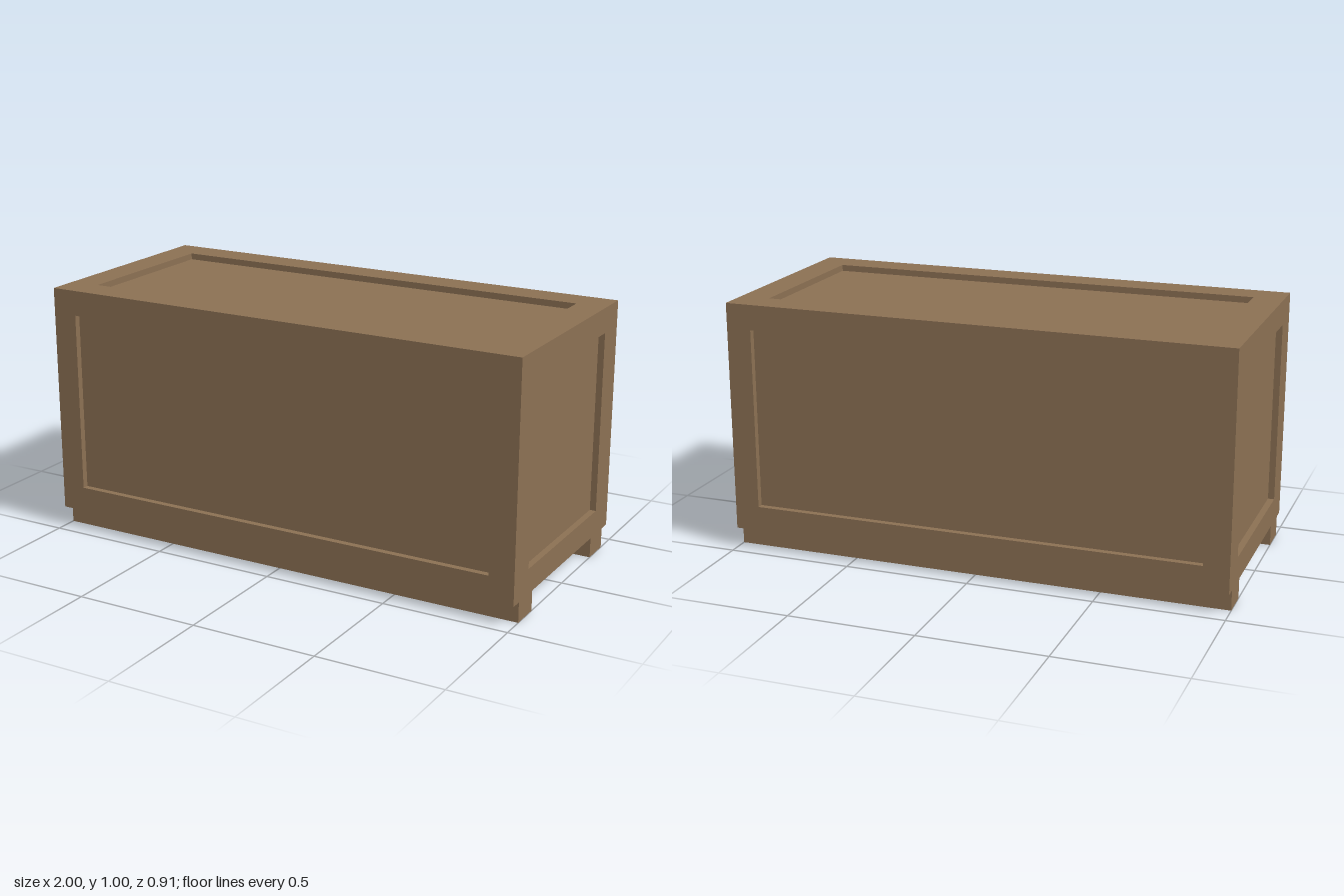
import * as THREE from 'three';

const WIDTH = 2, DEPTH = 0.91, BASE = 0.08, TOP = 1, RECESS = 0.025;
const HEIGHT = TOP - BASE, MID = (TOP + BASE) / 2;

function rectangle(Type, w, h) {
  return new Type([[-w, -h], [w, -h], [w, h], [-w, h]].map(([x, y]) => new THREE.Vector2(x / 2, y / 2)));
}

// One face of the chest, facing +z: a border, a sunken panel and its four reveals
function panelledFace(name, w, h, panelW, panelH, material) {
  const face = new THREE.Group();
  face.name = name;
  const add = (part, geometry) => {
    const mesh = new THREE.Mesh(geometry, material);
    mesh.name = part;
    face.add(mesh);
    return mesh;
  };
  const border = rectangle(THREE.Shape, w, h);
  border.holes.push(rectangle(THREE.Path, panelW, panelH));
  add('border', new THREE.ShapeGeometry(border));
  add('sunkenPanel', new THREE.PlaneGeometry(panelW, panelH)).position.z = -RECESS;
  for (const side of [-1, 1]) {
    const upright = add('sideReveal', new THREE.PlaneGeometry(RECESS, panelH));
    upright.position.set(side * panelW / 2, 0, -RECESS / 2);
    upright.rotation.y = -side * Math.PI / 2;
    const level = add('levelReveal', new THREE.PlaneGeometry(panelW, RECESS));
    level.position.set(0, side * panelH / 2, -RECESS / 2);
    level.rotation.x = side * Math.PI / 2;
  }
  return face;
}

export function createModel() {
  const model = new THREE.Group();
  model.name = 'panelledChest';
  const wood = new THREE.MeshStandardMaterial({ color: 0x8b7053, side: THREE.DoubleSide });
  wood.name = 'brownWood';

  // Front, back and the two ends
  for (const side of [1, -1]) {
    const long = panelledFace(side > 0 ? 'front' : 'back', WIDTH, HEIGHT, 1.8, 0.72, wood);
    long.position.set(0, MID, side * DEPTH / 2);
    long.rotation.y = side > 0 ? 0 : Math.PI;
    const end = panelledFace(side > 0 ? 'leftEnd' : 'rightEnd', DEPTH, HEIGHT, 0.66, 0.72, wood);
    end.position.set(side * WIDTH / 2, MID, 0);
    end.rotation.y = side * Math.PI / 2;
    model.add(long, end);
  }

  // Lid and plain underside
  const lid = panelledFace('lid', WIDTH, DEPTH, 1.76, 0.66, wood);
  lid.position.y = TOP;
  lid.rotation.x = -Math.PI / 2;
  const underside = new THREE.Mesh(new THREE.PlaneGeometry(WIDTH, DEPTH), wood);
  underside.name = 'underside';
  underside.position.y = BASE;
  underside.rotation.x = Math.PI / 2;
  model.add(lid, underside);

  // Hollow runners: box walls only, open beneath
  for (const side of [1, -1]) {
    const geometry = new THREE.BoxGeometry(WIDTH, BASE, 0.12);
    const index = Array.from(geometry.index.array);
    geometry.setIndex([...index.slice(0, 12), ...index.slice(24)]);
    geometry.clearGroups();
    const runner = new THREE.Mesh(geometry, wood);
    runner.name = side > 0 ? 'frontRunner' : 'backRunner';
    runner.position.set(0, BASE / 2, side * 0.347);
    model.add(runner);
  }
  return model;
}
